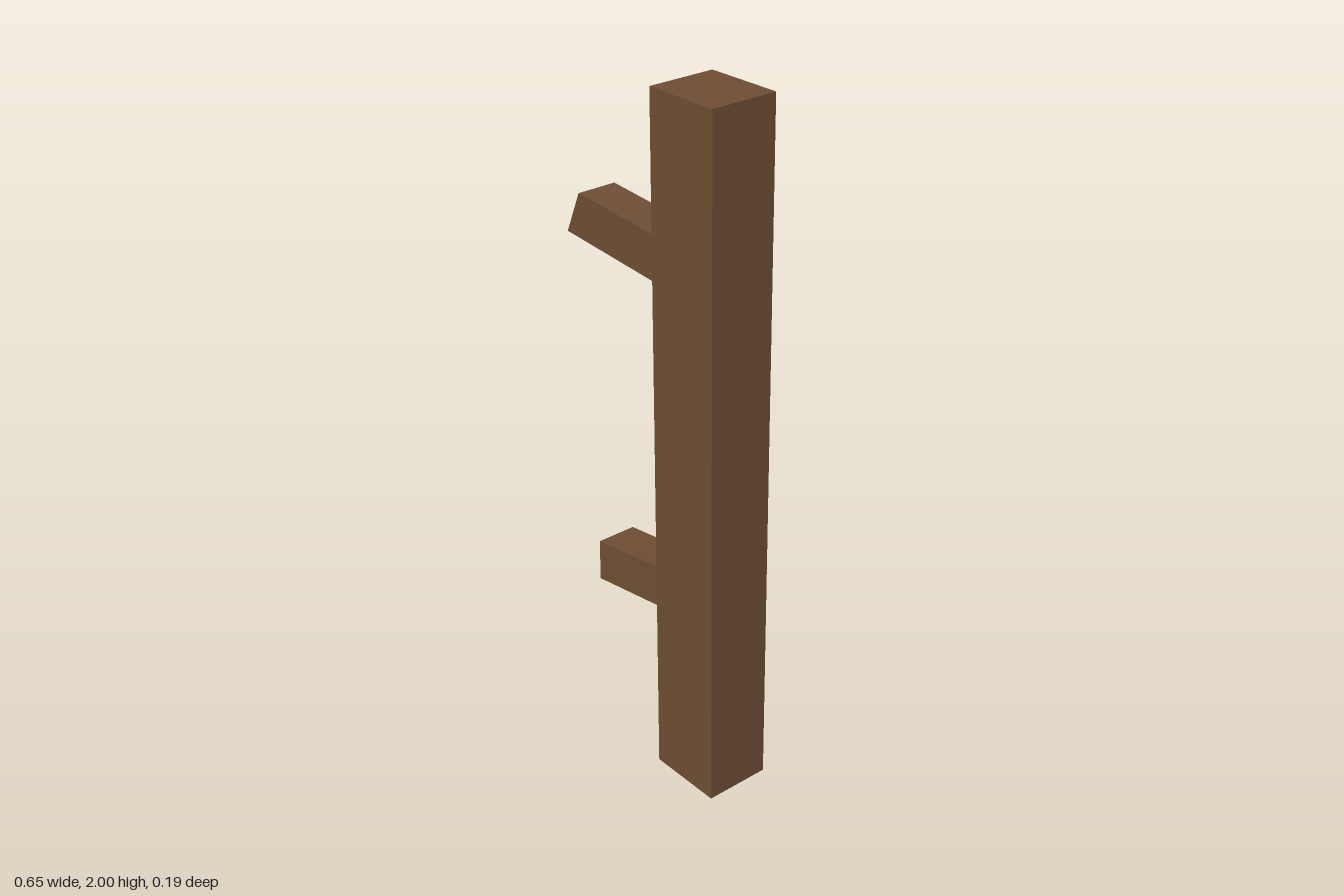
import * as THREE from 'three';

// Four-sided beam from a start ring to an end ring; the far end is capped, the start is open.
// Rings run counterclockwise as seen from the far end.
function beam(name, start, end, material) {
  const pos = [];
  const quad = (a, b, c, d) => pos.push(...a, ...b, ...c, ...a, ...c, ...d);
  for (let i = 0; i < 4; i++) {
    const j = (i + 1) % 4;
    quad(start[i], start[j], end[j], end[i]);
  }
  quad(...end);
  const geometry = new THREE.BufferGeometry();
  geometry.setAttribute('position', new THREE.Float32BufferAttribute(pos, 3));
  geometry.computeVertexNormals();
  const mesh = new THREE.Mesh(geometry, material);
  mesh.name = name;
  return mesh;
}

// Horizontal section of the post: left and right corners in x and y
const postRing = (x0, y0, x1, y1, d = 0.097) =>
  [[x0, y0, d], [x1, y1, d], [x1, y1, -d], [x0, y0, -d]];

// Upright section of a rail: lower and upper edges in x and y, back and front in z
const railRing = (xLow, yLow, xHigh, yHigh, zBack, zFront) =>
  [[xLow, yLow, zBack], [xLow, yLow, zFront], [xHigh, yHigh, zFront], [xHigh, yHigh, zBack]];

export function createModel() {
  const wood = new THREE.MeshStandardMaterial({ color: 0x6f4e34, side: THREE.DoubleSide });
  wood.name = 'brown wood';

  const group = new THREE.Group();
  group.name = 'brokenFencePost';

  // Leaning post, hollow and open at the foot
  group.add(beam('post',
    postRing(0.098, 0, 0.327, 0.007),
    postRing(0.065, 1.995, 0.292, 2), wood));

  // Upper rail stub with a slanted break
  group.add(beam('upperRail',
    railRing(0.075, 1.468, 0.073, 1.595, -0.057, 0.06),
    railRing(-0.327, 1.49, -0.275, 1.612, -0.057, 0.06), wood));

  // Lower rail stub, twisted slightly towards the front
  group.add(beam('lowerRail',
    railRing(0.091, 0.491, 0.089, 0.617, -0.069, 0.049),
    railRing(-0.177, 0.478, -0.177, 0.603, -0.03, 0.088), wood));

  return group;
}
